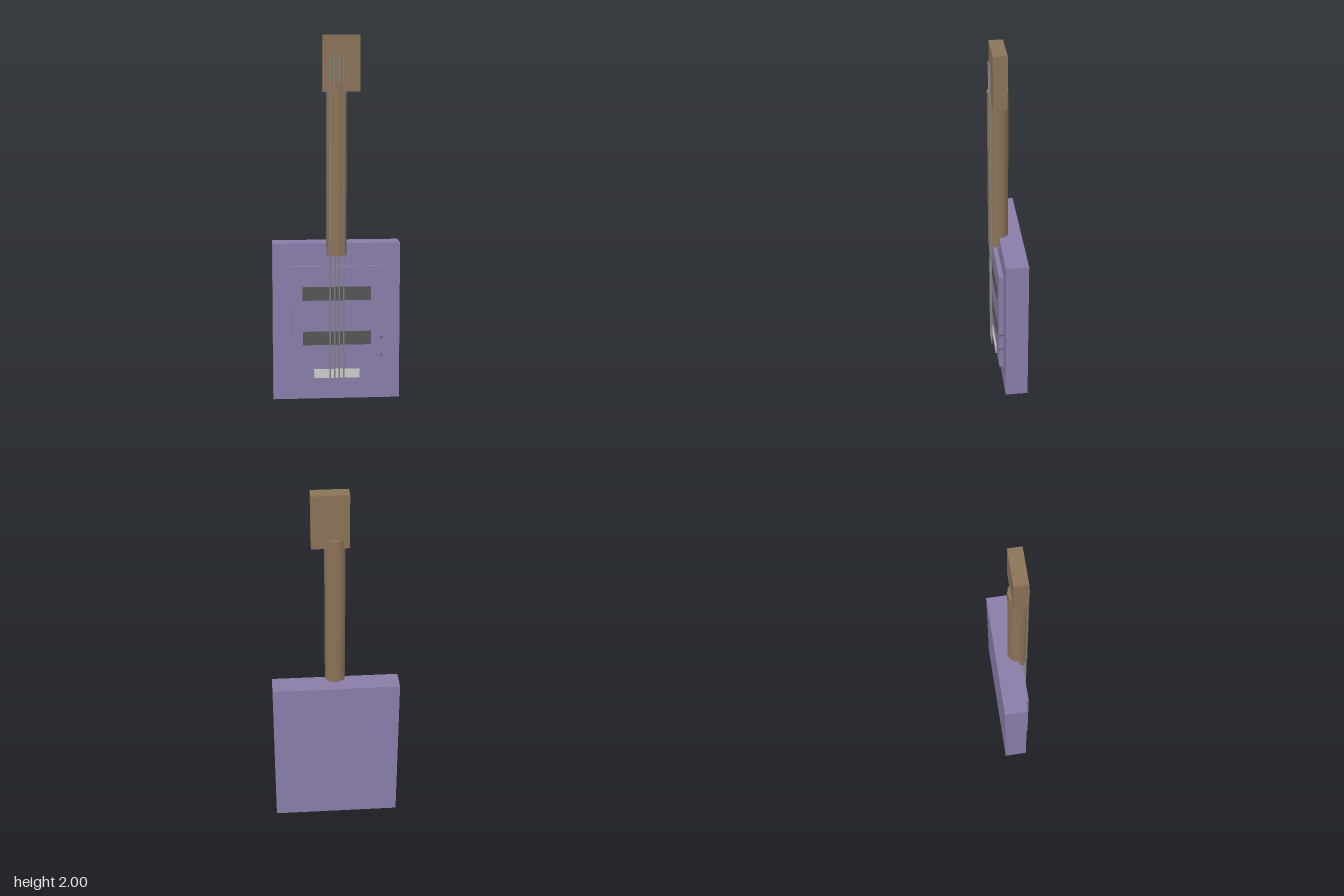
import * as THREE from 'three';

const material = (color) => new THREE.MeshStandardMaterial({ color });

export function createModel() {
  const group = new THREE.Group();
  const purple = material(0x8a7ca8);
  const wood = material(0x8b7358);
  const dark = material(0x555555);
  const grey = material(0xcccccc);
  const steel = material(0x888888);

  const add = (name, geometry, mat, x, y, z) => {
    const mesh = new THREE.Mesh(geometry, mat);
    mesh.name = name;
    mesh.position.set(x, y, z);
    group.add(mesh);
    return mesh;
  };
  // Box given by its lower and upper limits on each axis
  const box = (name, mat, [x0, x1], [y0, y1], [z0, z1]) =>
    add(name, new THREE.BoxGeometry(x1 - x0, y1 - y0, z1 - z0), mat,
      (x0 + x1) / 2, (y0 + y1) / 2, (z0 + z1) / 2);

  // Slab body with a raised front plate
  box('body', purple, [-0.35, 0.35], [0, 0.875], [-0.0925, 0.0325]);
  box('frontPlate', purple, [-0.25, 0.25], [0.125, 0.75], [0.0325, 0.0575]);

  // Two pickups and the bridge
  for (const y of [0.35, 0.6]) {
    box('pickup', dark, [-0.1875, 0.1875], [y - 0.0375, y + 0.0375], [0.0575, 0.0637]);
  }
  box('bridge', grey, [-0.125, 0.125], [0.125, 0.175], [0.0575, 0.0637]);

  // Round neck and offset headstock
  add('neck', new THREE.CylinderGeometry(0.056, 0.056, 0.9375, 16), wood, 0, 1.28125, 0.033);
  box('headstock', wood, [-0.075, 0.125], [1.7, 2], [-0.004, 0.071]);

  // Four strings from the bridge to the headstock
  for (let i = 0; i < 4; i++) {
    add('string', new THREE.CylinderGeometry(0.0035, 0.0035, 1.775, 8), steel,
      (i - 1.5) * 0.025, 1.0125, 0.0755);
  }

  // Small control knobs on the plate's edge
  for (const y of [0.25, 0.35]) {
    add('knob', new THREE.CylinderGeometry(0.006, 0.006, 0.025, 12), dark, 0.247, y, 0.0455)
      .rotation.x = Math.PI / 2;
  }
  return group;
}
